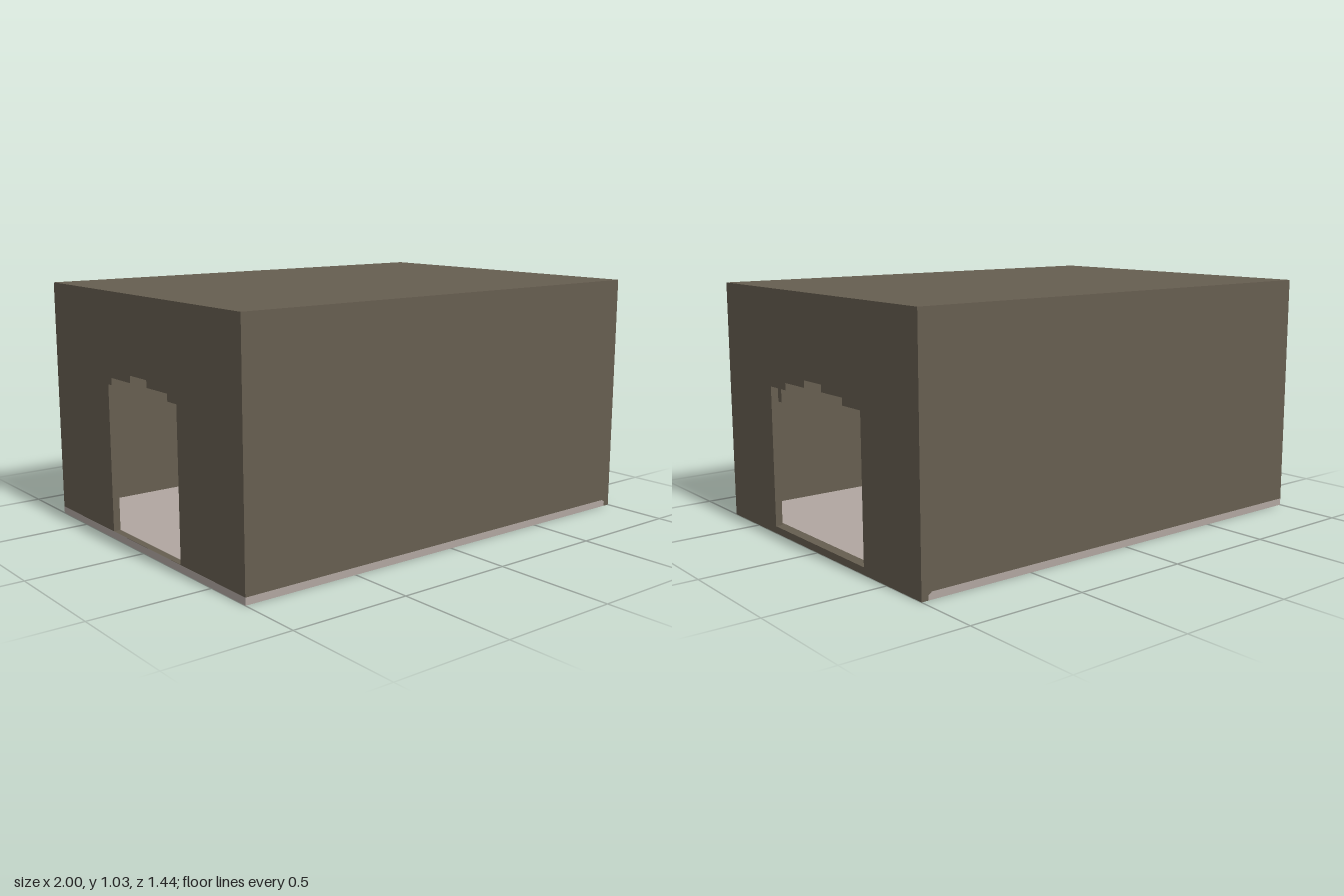
import * as THREE from 'three';

export function createModel() {
  const model = new THREE.Group();
  model.name = 'room';
  const stone = new THREE.MeshStandardMaterial({ color: 0x665e50 });
  stone.name = 'brown stone';
  const pale = new THREE.MeshStandardMaterial({ color: 0xb0a6a0 });
  pale.name = 'pale stone';

  const X = 1, Z = 0.72, H = 1.03, T = 0.03; // half length, half width, height, thickness

  const add = (name, geometry, material) => {
    const mesh = new THREE.Mesh(geometry, material);
    mesh.name = name;
    model.add(mesh);
    return mesh;
  };
  // Box given by its minimum and maximum corners
  const box = (name, [x0, y0, z0], [x1, y1, z1], material = stone) => {
    const mesh = add(name, new THREE.BoxGeometry(x1 - x0, y1 - y0, z1 - z0), material);
    mesh.position.set((x0 + x1) / 2, (y0 + y1) / 2, (z0 + z1) / 2);
  };
  const shapeOf = points => new THREE.Shape(points.map(p => new THREE.Vector2(...p)));

  // Floor slab with its chamfered edge, and the fillet that fills the chamfer
  const extrudeZ = points => new THREE.ExtrudeGeometry(shapeOf(points), { depth: 2 * Z, bevelEnabled: false })
    .translate(0, 0, -Z);
  const edge = X - T;
  add('floor', extrudeZ([[-X, 0], [edge, 0], [edge, 0.02], [edge - 0.015, T], [-X, T]]), pale);
  add('floorFillet', extrudeZ([[edge, 0.02], [edge, T], [edge - 0.015, T]]), stone);

  // Roof and long walls
  box('roof', [-edge, H - T, -Z], [edge, H, Z]);
  box('frontWall', [-edge, T, Z - T], [edge, H - T, Z]);
  box('backWall', [-edge, T, -Z], [edge, H - T, -Z + T]);

  // End walls, each with a stepped doorway; the outline runs along -z
  const endWall = (name, x, base, opening) => {
    const shape = shapeOf([[-Z, base], [Z, base], [Z, H], [-Z, H]]);
    shape.holes.push(new THREE.Path(opening.map(([z, y]) => new THREE.Vector2(-z, y))));
    const geometry = new THREE.ExtrudeGeometry(shape, { depth: T, bevelEnabled: false });
    geometry.rotateY(Math.PI / 2);
    add(name, geometry, stone).position.x = x;
  };
  const stepped = (z0, z1, base, y0, y1, y2) => [
    [z0, base], [z0, y0], [0.22, y0], [0.22, y1], [0.065, y1], [0.065, y2],
    [-0.065, y2], [-0.065, y1], [-0.22, y1], [-0.22, y0], [z1, y0], [z1, base],
  ];
  endWall('rightEndWall', edge, 0, stepped(0.345, -0.345, T, 0.625, 0.655, 0.685));
  endWall('leftEndWall', -X, T, stepped(0.285, -0.25, T + 0.0005, 0.65, 0.68, 0.71));

  // Bricks standing proud of the inner walls: x, y of the lower corner
  const bricks = (name, side, list, material) => list.forEach(([x, y]) => {
    const inner = Z - T, out = inner - 0.03;
    const [z0, z1] = side > 0 ? [out, inner] : [-inner, -out];
    box(name, [x, y, z0], [x + 0.15, y + 0.075, z1], material);
  });
  bricks('frontWallBrick', 1, [
    [0.51, 0.7], [0.35, 0.78], [0.64, 0.49], [-0.63, 0.225], [-0.71, 0.3], [-0.75, 0.2],
  ], stone);
  bricks('backWallBrick', -1, [[0.68, 0.04]], stone);
  bricks('paleWallBrick', -1, [[0.47, 0.21]], pale);

  return model;
}
